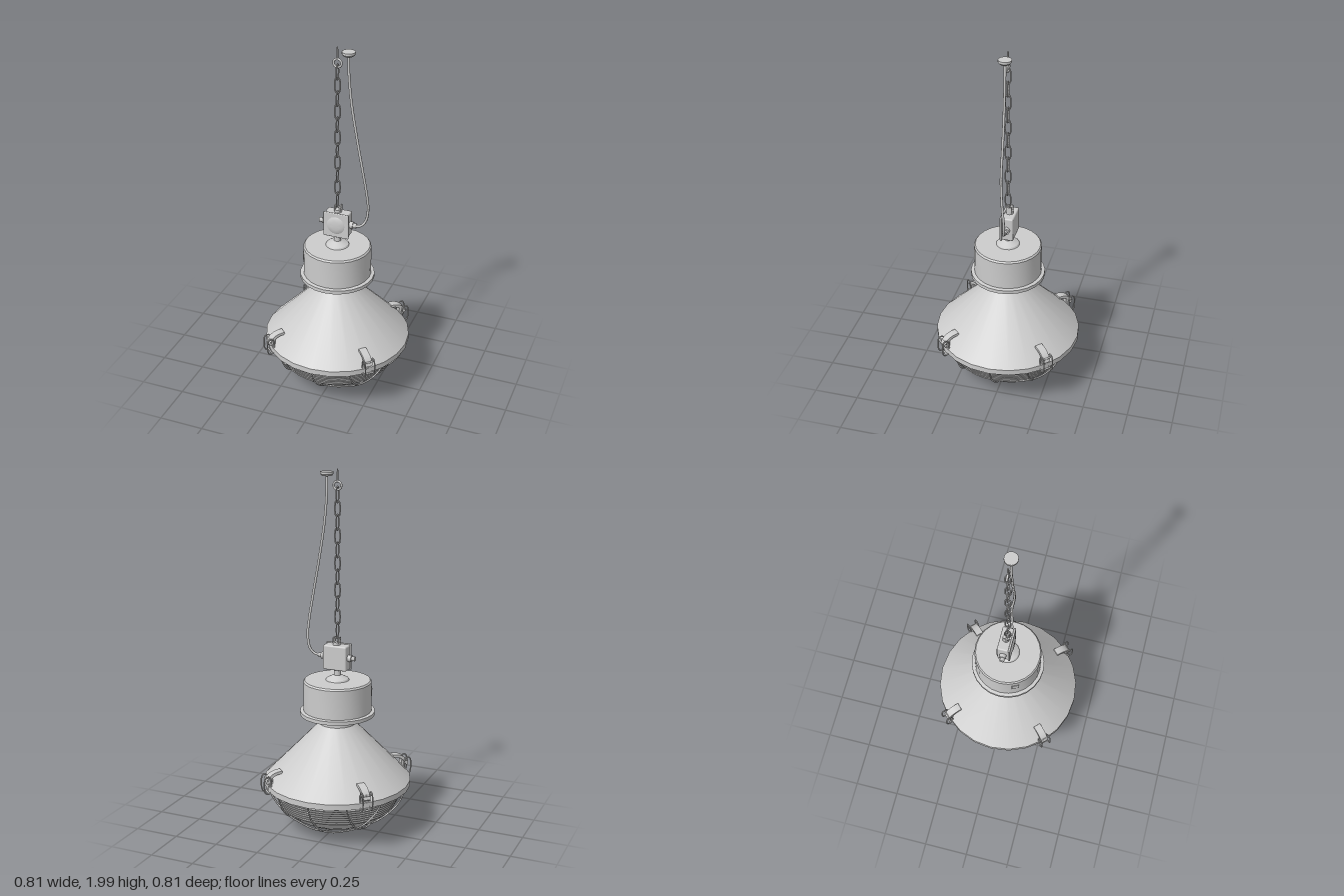
import * as THREE from 'three';
import { toCreasedNormals } from 'three/addons/utils/BufferGeometryUtils.js';
import { RoundedBoxGeometry } from 'three/addons/geometries/RoundedBoxGeometry.js';

const paint = new THREE.MeshStandardMaterial({ color: 0xcccccc, side: THREE.DoubleSide });
paint.name = 'light grey';

const v = (x, y, z = 0) => new THREE.Vector3(x, y, z);

function add(parent, name, geometry, x = 0, y = 0, z = 0) {
  const mesh = new THREE.Mesh(geometry, paint);
  mesh.name = name;
  mesh.position.set(x, y, z);
  parent.add(mesh);
  return mesh;
}

// Profile of [radius, y] pairs, listed from bottom to top
function lathe(profile, sides = 24) {
  const points = profile.map(([r, y]) => new THREE.Vector2(r, y));
  return toCreasedNormals(new THREE.LatheGeometry(points, sides), 0.5);
}

function wire(points, radius, closed = false, steps = 32, sides = 6) {
  const curve = new THREE.CatmullRomCurve3(points, closed, 'centripetal');
  return new THREE.TubeGeometry(curve, steps, radius, sides, closed);
}

// Long oval loop in the x-y plane
function ovalLoop(width, height, radius) {
  const w = width / 2, h = height / 2, s = h - w * 0.7;
  return wire([v(w, -s), v(w, s), v(w * 0.5, h), v(-w * 0.5, h),
    v(-w, s), v(-w, -s), v(-w * 0.5, -h), v(w * 0.5, -h)], radius, true, 24);
}

function buildLamp(group) {
  add(group, 'shade', lathe([[0.365, 0.27], [0.405, 0.27], [0.405, 0.302], [0.398, 0.308],
    [0.1, 0.618], [0.1, 0.69]]));

  add(group, 'drum', lathe([[0.1, 0.69], [0.12, 0.69], [0.12, 0.682], [0.138, 0.682], [0.138, 0.69],
    [0.158, 0.69], [0.158, 0.68], [0.178, 0.68], [0.178, 0.67], [0.205, 0.67], [0.205, 0.69],
    [0.186, 0.693], [0.186, 0.855], [0.179, 0.864], [0, 0.864]]));

  const plate = add(group, 'drumPlate', new THREE.BoxGeometry(0.04, 0.045, 0.008), -0.164, 0.795, 0.083);
  plate.rotation.y = -1.1;

  add(group, 'stem', lathe([[0.066, 0.862], [0.06, 0.872], [0.03, 0.887], [0.02, 0.892],
    [0.02, 0.93]], 16));

  // Ribbed glass with a smooth bowl below
  const glass = [[0, 0.026], [0.07, 0.03], [0.14, 0.044], [0.2, 0.066], [0.26, 0.1], [0.305, 0.142]];
  for (let i = 0; i < 8; i++) {
    const r = 0.312 + i * 0.0078, y = 0.146 + i * 0.0155;
    glass.push([r, y], [r + 0.006, y + 0.003], [r + 0.006, y + 0.008], [r, y + 0.011]);
  }
  glass.push([0.375, 0.272]);
  add(group, 'glass', lathe(glass, 32));
}

// Wire hoops in both directions, lying on one bowl-shaped surface
function buildCage(group) {
  const bowl = new THREE.SplineCurve([[0, 0.012], [0.1, 0.022], [0.2, 0.052], [0.28, 0.105],
    [0.345, 0.175], [0.38, 0.235], [0.393, 0.275]].map(([r, y]) => new THREE.Vector2(r, y)));
  const samples = bowl.getPoints(60);
  const heightAt = r => samples.reduce((best, p) => Math.abs(p.x - r) < Math.abs(best.x - r) ? p : best).y;
  for (const turn of [0, Math.PI / 2]) {
    for (const offset of [-0.2, 0, 0.2]) {
      const reach = Math.sqrt(0.393 ** 2 - offset ** 2);
      const points = [];
      for (let i = 0; i <= 16; i++) {
        const t = reach * Math.sin((i / 8 - 1) * Math.PI / 2);
        points.push(v(t, heightAt(Math.hypot(t, offset)), offset));
      }
      add(group, 'cageWire', wire(points, 0.005, false, 40)).rotation.y = turn;
    }
  }
  const ring = add(group, 'cageRing', new THREE.TorusGeometry(0.39, 0.006, 6, 48), 0, 0.274, 0);
  ring.rotation.x = Math.PI / 2;
}

// Four spring clips, each built facing +z
function buildClips(group) {
  const leverShape = new THREE.Shape();
  leverShape.moveTo(0.325, 0.37);
  leverShape.quadraticCurveTo(0.385, 0.375, 0.41, 0.315);
  leverShape.lineTo(0.422, 0.325);
  leverShape.quadraticCurveTo(0.405, 0.385, 0.33, 0.386);
  const lever = new THREE.ExtrudeGeometry(leverShape, { depth: 0.042, bevelEnabled: false, curveSegments: 8 });
  lever.translate(0, 0, -0.021).rotateY(-Math.PI / 2);
  const leverGeometry = toCreasedNormals(lever, 0.5);
  const loop = ovalLoop(0.034, 0.095, 0.004).rotateY(Math.PI / 2);
  const pin = new THREE.CylinderGeometry(0.005, 0.005, 0.06, 8).rotateZ(Math.PI / 2);

  for (let i = 0; i < 4; i++) {
    const clip = new THREE.Group();
    clip.name = 'clip';
    clip.rotation.y = Math.PI / 4 + i * Math.PI / 2;
    add(clip, 'clipLever', leverGeometry);
    add(clip, 'clipBase', new THREE.BoxGeometry(0.034, 0.045, 0.02), 0, 0.325, 0.393);
    for (const x of [-0.027, 0.027]) add(clip, 'clipLoop', loop, x, 0.315, 0.415);
    add(clip, 'clipPin', pin, 0, 0.345, 0.412);
    add(clip, 'clipHook', pin, 0, 0.27, 0.41);
    group.add(clip);
  }
}

function buildJunctionBox(group) {
  add(group, 'junctionBox', new RoundedBoxGeometry(0.136, 0.136, 0.066, 2, 0.008), 0, 0.994, -0.012);
  add(group, 'boxLid', new RoundedBoxGeometry(0.146, 0.146, 0.012, 2, 0.005), 0, 0.994, 0.022);
  const boss = add(group, 'lidBoss', lathe([[0.052, 0], [0.046, 0.004], [0.025, 0.008], [0, 0.009]]), 0, 0.994, 0.027);
  boss.rotation.x = Math.PI / 2;

  // Cable glands on both sides
  for (const side of [-1, 1]) {
    const collar = add(group, 'glandCollar', new THREE.CylinderGeometry(0.019, 0.019, 0.02, 12), side * 0.078, 0.994, -0.01);
    const nut = add(group, 'glandNut', new THREE.CylinderGeometry(0.013, 0.013, 0.022, 6), side * 0.096, 0.994, -0.008);
    collar.rotation.z = nut.rotation.z = Math.PI / 2;
  }

  // Hanging lug with a cross pin
  add(group, 'lugBase', new THREE.CylinderGeometry(0.02, 0.02, 0.02, 12), 0, 1.068, -0.01);
  for (const x of [-0.015, 0.015]) add(group, 'lugCheek', new THREE.BoxGeometry(0.006, 0.032, 0.03), x, 1.088, -0.01);
  const lugPin = add(group, 'lugPin', new THREE.CylinderGeometry(0.005, 0.005, 0.04, 8), 0, 1.096, -0.004);
  lugPin.rotation.z = Math.PI / 2;
}

function buildSuspension(group) {
  // Chain links turned alternately
  const link = ovalLoop(0.024, 0.082, 0.004);
  for (let i = 0; i < 11; i++) {
    add(group, 'chainLink', link, 0, 1.1425 + i * 0.0725, 0).rotation.y = i % 2 ? 0 : Math.PI / 2;
  }
  add(group, 'ceilingEye', new THREE.TorusGeometry(0.022, 0.006, 8, 20), 0, 1.915, 0);
  add(group, 'ceilingScrew', new THREE.CylinderGeometry(0.004, 0.005, 0.065, 8), 0, 1.9675, 0);

  // Power cable and its ceiling cap
  add(group, 'cable', wire([v(0.06, 1.97), v(0.061, 1.88), v(0.075, 1.72), v(0.105, 1.53), v(0.14, 1.34),
    v(0.163, 1.18, -0.012), v(0.167, 1.1, -0.02), v(0.155, 1.03, -0.018), v(0.13, 0.999, -0.01),
    v(0.095, 0.993, -0.006)], 0.007, false, 64, 8));
  add(group, 'ceilingCap', lathe([[0, 1.962], [0.026, 1.962], [0.035, 1.972], [0.035, 1.984], [0, 1.984]], 20), 0.06, 0, 0);
}

export function createModel() {
  const model = new THREE.Group();
  model.name = 'pendantLamp';
  for (const build of [buildLamp, buildCage, buildClips, buildJunctionBox, buildSuspension]) build(model);
  return model;
}
